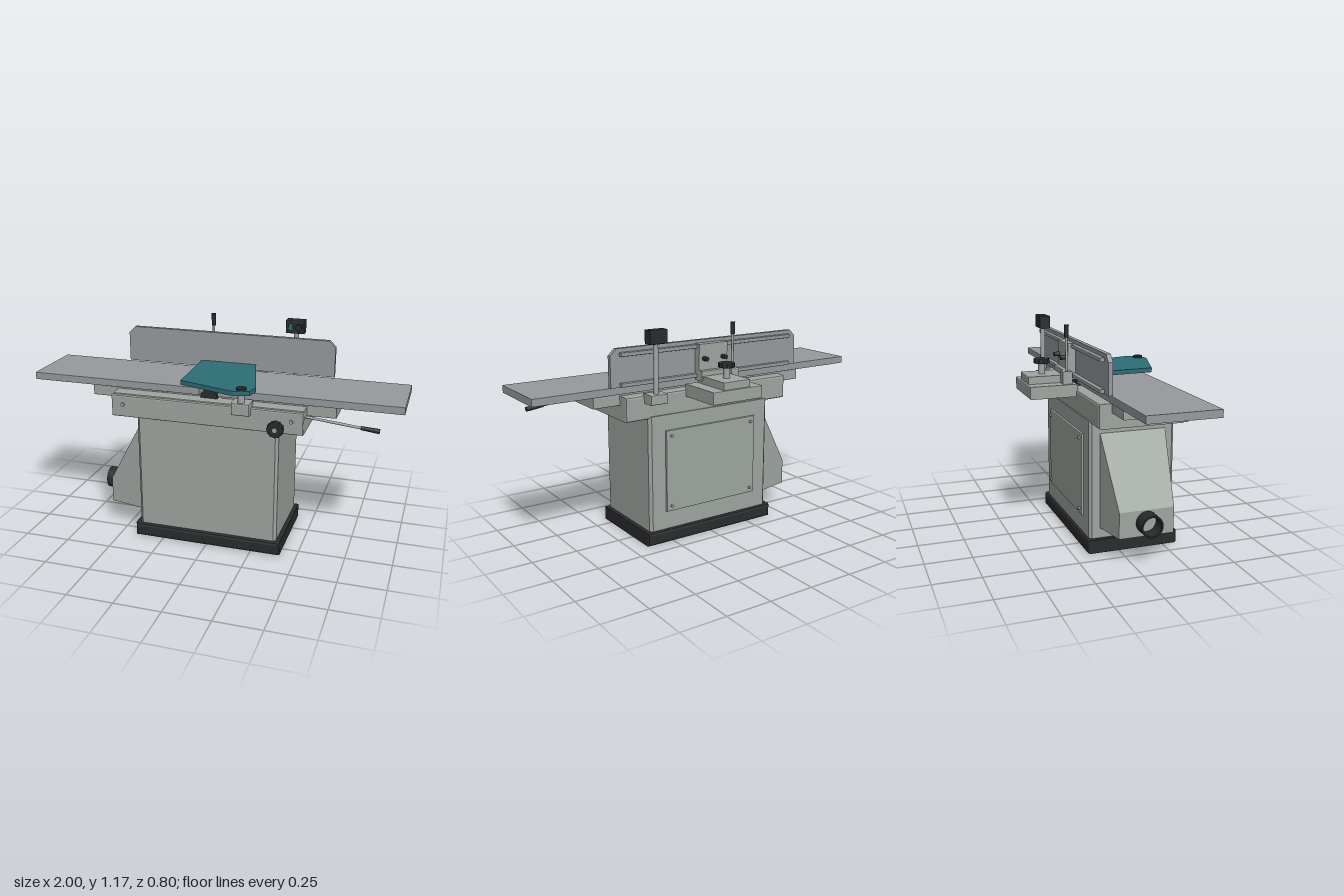
import * as THREE from 'three';

const mat = (color) => new THREE.MeshStandardMaterial({ color });
const paint = mat(0x9ea5a0), iron = mat(0x97999d), steel = mat(0xa2a6a6);
const dark = mat(0x2a2b2d), teal = mat(0x2c6e77);
const rubber = mat(0x2a2b2d);
rubber.side = THREE.DoubleSide;

export function createModel() {
  const model = new THREE.Group();

  const add = (name, geometry, material) => {
    const mesh = new THREE.Mesh(geometry, material);
    mesh.name = name;
    model.add(mesh);
    return mesh;
  };

  // Box given by its limits, with chamfered edges of size c
  const block = (name, material, [x0, x1], [y0, y1], [z0, z1], c = 0) => {
    const w = x1 - x0, h = y1 - y0, d = z1 - z0;
    let g;
    if (c) {
      const a = w / 2 - c, b = h / 2 - c;
      const s = new THREE.Shape([[-a, -b], [a, -b], [a, b], [-a, b]].map((p) => new THREE.Vector2(...p)));
      g = new THREE.ExtrudeGeometry(s, { depth: d - 2 * c, bevelSize: c, bevelThickness: c, bevelSegments: 2 });
      g.translate(0, 0, c - d / 2);
    } else g = new THREE.BoxGeometry(w, h, d);
    g.translate((x0 + x1) / 2, (y0 + y1) / 2, (z0 + z1) / 2);
    return add(name, g, material);
  };

  // Round bar between two points
  const rod = (name, material, from, to, r, r2 = r) => {
    const a = new THREE.Vector3(...from), b = new THREE.Vector3(...to);
    const mesh = add(name, new THREE.CylinderGeometry(r2, r, a.distanceTo(b), 28), material);
    mesh.position.copy(a).lerp(b, 0.5);
    mesh.quaternion.setFromUnitVectors(new THREE.Vector3(0, 1, 0), b.sub(a).normalize());
    return mesh;
  };

  const outline = (points) => new THREE.Shape(points.map((p) => new THREE.Vector2(...p)));

  // Knob with a gripped rim, axis along y
  const knob = (name, r, h) => {
    const s = new THREE.Shape();
    for (let i = 0; i < 48; i++) {
      const a = (i / 48) * Math.PI * 2, q = r * (1 + 0.04 * Math.cos(a * 12)) - 0.004;
      s[i ? 'lineTo' : 'moveTo'](q * Math.cos(a), q * Math.sin(a));
    }
    const g = new THREE.ExtrudeGeometry(s, { depth: h - 0.008, bevelSize: 0.004, bevelThickness: 0.004, bevelSegments: 2 });
    g.translate(0, 0, 0.004 - h / 2).rotateX(-Math.PI / 2);
    return add(name, g, dark);
  };

  // Plinth and cabinet
  block('plinth', dark, [-0.41, 0.41], [0, 0.075], [-0.175, 0.335], 0.015);
  const c = 0.015, X = 0.387, F = 0.315, B = -0.157;
  const cabinet = new THREE.ExtrudeGeometry(outline([
    [-X + c, -F], [X - c, -F], [X, -F + c], [X, -B - c], [X - c, -B], [-X + c, -B], [-X, -B - c], [-X, -F + c],
  ]), { depth: 0.64, bevelEnabled: false });
  cabinet.rotateX(-Math.PI / 2).translate(0, 0.07, 0);
  add('cabinet', cabinet, paint);

  // Rear access panel with corner screws
  block('accessPanel', paint, [-0.29, 0.29], [0.175, 0.625], [-0.169, -0.15], 0.004);
  for (const x of [-0.26, 0.26]) for (const y of [0.205, 0.595])
    rod('panelScrew', steel, [x, y, -0.165], [x, y, -0.179], 0.008);

  // Dust chute, narrowing toward the hose port
  const chute = new THREE.ExtrudeGeometry(outline([
    [-0.38, 0.13], [-0.38, 0.65], [-0.39, 0.64], [-0.59, 0.28], [-0.59, 0.14],
  ]), { depth: 0.36, bevelEnabled: false });
  chute.translate(0, 0, -0.18);
  const p = chute.attributes.position;
  for (let i = 0; i < p.count; i++) {
    const t = Math.min(1, Math.max(0, (-0.39 - p.getX(i)) / 0.2));
    p.setZ(i, 0.08 + p.getZ(i) * (1 - 0.17 * t));
  }
  chute.computeVertexNormals();
  add('dustChute', chute, paint);
  const port = new THREE.LatheGeometry([[0.05, 0], [0.059, 0], [0.059, 0.08], [0.05, 0.08], [0.05, 0]]
    .map((q) => new THREE.Vector2(...q)).reduce((out, q, i, all) => {
      // Doubled points keep the rim sharp
      if (i) out.push(all[i - 1].clone().lerp(q, 0.02), all[i - 1].clone().lerp(q, 0.98));
      out.push(q);
      return out;
    }, []), 36);
  port.rotateZ(Math.PI / 2).translate(-0.587, 0.215, 0.08);
  add('dustPort', port, rubber);

  // Bed casting with its front cover
  block('bedCasting', paint, [-0.515, 0.515], [0.697, 0.826], [-0.15, 0.315], 0.01);
  block('frontCover', paint, [-0.52, 0.515], [0.7, 0.818], [0.305, 0.334], 0.007);
  for (const x of [-0.455, 0.455]) rod('coverBolt', steel, [x, 0.77, 0.33], [x, 0.77, 0.343], 0.01);

  // Tables either side of the cutter
  for (const s of [-1, 1]) {
    const span = (a, b) => [Math.min(s * a, s * b), Math.max(s * a, s * b)];
    block('table', iron, span(0.05, 1), [0.84, 0.879], [-0.11, 0.267], 0.002);
    block('tableSlide', paint, span(0.06, 0.665), [0.776, 0.842], [-0.083, 0.242], 0.004);
  }
  rod('cutterHead', dark, [0, 0.827, -0.108], [0, 0.827, 0.262], 0.046);
  for (let i = 0; i < 3; i++) {
    const a = Math.PI / 2 + (i * Math.PI * 2) / 3;
    const blade = block('cutterBlade', steel, [-0.003, 0.003], [-0.004, 0.004], [-0.1, 0.255]);
    blade.position.set(0.045 * Math.cos(a), 0.827 + 0.045 * Math.sin(a), 0);
    blade.rotation.z = a - Math.PI / 2;
  }

  // Fence with clipped top corners, and rails on its back
  const fence = new THREE.ExtrudeGeometry(outline([
    [-0.595, 0.882], [0.59, 0.882], [0.59, 1.045], [0.555, 1.08], [-0.56, 1.08], [-0.595, 1.045],
  ]), { depth: 0.024, bevelEnabled: false });
  fence.translate(0, 0, -0.133);
  add('fence', fence, iron);
  for (const y of [0.895, 1.05])
    block('fenceRail', iron, [-0.54, 0.54], [y - 0.01, y + 0.01], [-0.157, -0.13], 0.004);

  // Fence carriage
  block('carriageBase', paint, [-0.155, 0.155], [0.79, 0.857], [-0.4, -0.14], 0.005);
  block('carriageSlide', paint, [-0.083, 0.083], [0.855, 0.897], [-0.39, -0.15], 0.004);
  block('fenceBracket', paint, [-0.093, 0.09], [0.87, 1.064], [-0.176, -0.133], 0.004);
  block('bracketFoot', paint, [-0.093, 0.09], [0.87, 0.925], [-0.2, -0.17], 0.004);
  for (const x of [-0.06, 0.06]) rod('bracketBolt', dark, [x, 0.987, -0.17], [x, 0.987, -0.208], 0.012);
  rod('carriageKnobStem', steel, [0, 0.89, -0.295], [0, 0.957, -0.295], 0.018);
  knob('carriageKnob', 0.043, 0.024).position.set(0, 0.966, -0.295);

  // Fence tilt lever
  block('tiltLeverBlock', paint, [-0.14, -0.09], [0.85, 0.925], [-0.218, -0.165], 0.004);
  rod('tiltLever', steel, [-0.115, 0.92, -0.19], [-0.115, 1.11, -0.19], 0.007);
  rod('tiltLeverGrip', dark, [-0.115, 1.1, -0.19], [-0.115, 1.168, -0.19], 0.011, 0.013);

  // Switch on its post
  block('switchFoot', paint, [0.31, 0.41], [0.787, 0.838], [-0.22, -0.135], 0.005);
  rod('switchPost', steel, [0.36, 0.83, -0.186], [0.36, 1.1, -0.186], 0.013);
  block('switchBox', dark, [0.305, 0.407], [1.094, 1.166], [-0.216, -0.155], 0.006);
  rod('stopButton', dark, [0.378, 1.13, -0.158], [0.378, 1.13, -0.14], 0.018);
  block('startButton', teal, [0.322, 0.344], [1.115, 1.145], [-0.16, -0.15], 0.002);

  // Cutter guard on its pivot
  const guard = new THREE.ExtrudeGeometry(outline([
    [-0.16, 0.09], [-0.14, 0.105], [0.155, 0.105], [0.26, -0.29], [0.245, -0.36], [0.17, -0.382], [0.14, -0.375], [-0.145, -0.285],
  ].reverse()), { depth: 0.024, bevelEnabled: false });
  guard.rotateX(-Math.PI / 2).translate(0, 0.893, 0);
  add('cutterGuard', guard, teal);
  block('guardBracket', paint, [0.15, 0.246], [0.785, 0.85], [0.28, 0.37], 0.007);
  rod('guardPivot', steel, [0.198, 0.84, 0.343], [0.198, 0.895, 0.343], 0.018);
  rod('guardCap', dark, [0.198, 0.91, 0.343], [0.198, 0.928, 0.343], 0.026);

  // Front adjusting wheel
  rod('wheelShaft', steel, [0.385, 0.74, 0.32], [0.385, 0.74, 0.37], 0.014);
  const wheel = knob('adjustingWheel', 0.042, 0.03);
  wheel.rotation.x = Math.PI / 2;
  wheel.position.set(0.385, 0.74, 0.38);
  rod('wheelHub', steel, [0.385, 0.74, 0.39], [0.385, 0.74, 0.399], 0.012);

  // Table height lever
  rod('heightLever', steel, [0.5, 0.777, 0.255], [0.8, 0.746, 0.255], 0.007);
  rod('heightLeverGrip', dark, [0.79, 0.747, 0.255], [0.885, 0.738, 0.255], 0.01, 0.013);

  return model;
}
